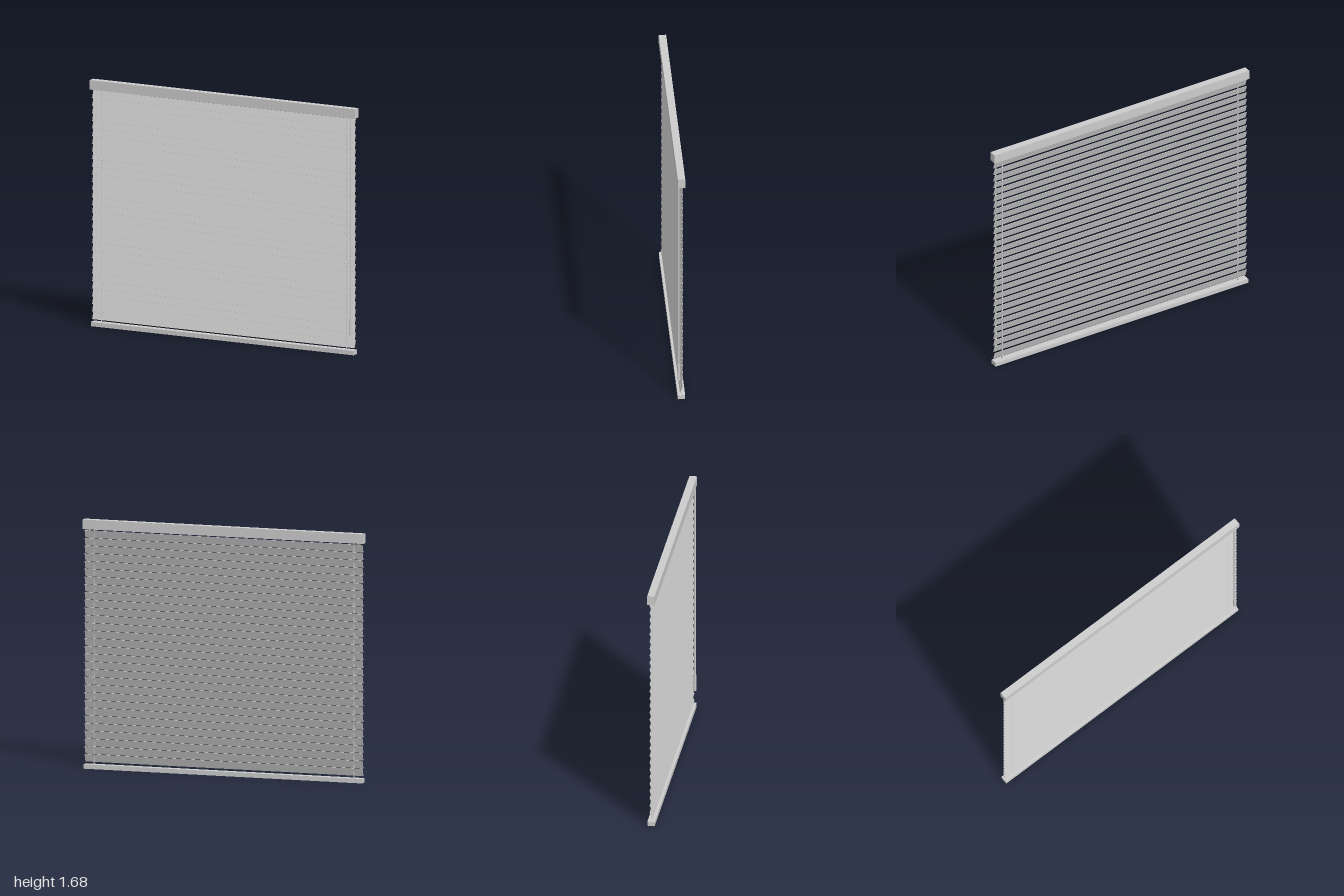
import * as THREE from 'three';

export function createModel() {
  const group = new THREE.Group();
  group.name = 'venetianBlind';
  const material = new THREE.MeshStandardMaterial({ color: 0xcccccc });

  function add(name, geometry, x, y, z, tilt = 0) {
    const mesh = new THREE.Mesh(geometry, material);
    mesh.name = name;
    mesh.position.set(x, y, z);
    mesh.rotation.x = tilt;
    group.add(mesh);
    return mesh;
  }

  // Head rail and bottom rail
  add('headRail', new THREE.BoxGeometry(2, 0.065, 0.05), 0, 1.6525, 0);
  add('bottomRail', new THREE.BoxGeometry(1.984, 0.03, 0.05), 0, 0.015, 0);

  // Nearly closed slats, lower edge tilted towards the front
  const slatCount = 30;
  const pitch = 0.0522;
  const slat = new THREE.BoxGeometry(1.98, 0.055, 0.0025);
  for (let i = 0; i < slatCount; i++) {
    add('slat', slat, 0, 0.0715 + i * pitch, 0, -0.33);
  }

  // Lift cords running through the slats
  const cord = new THREE.CylinderGeometry(0.004, 0.004, 1.6, 8);
  add('leftCord', cord, 0.925, 0.825, 0);
  add('rightCord', cord, -0.925, 0.825, 0);

  // Tilt wand with a thicker grip at its end
  add('wand', new THREE.CylinderGeometry(0.006, 0.006, 1.4, 12), 0.965, 0.93, 0.017);
  add('wandGrip', new THREE.CylinderGeometry(0.009, 0.009, 0.12, 12), 0.965, 0.19, 0.017);

  return group;
}
